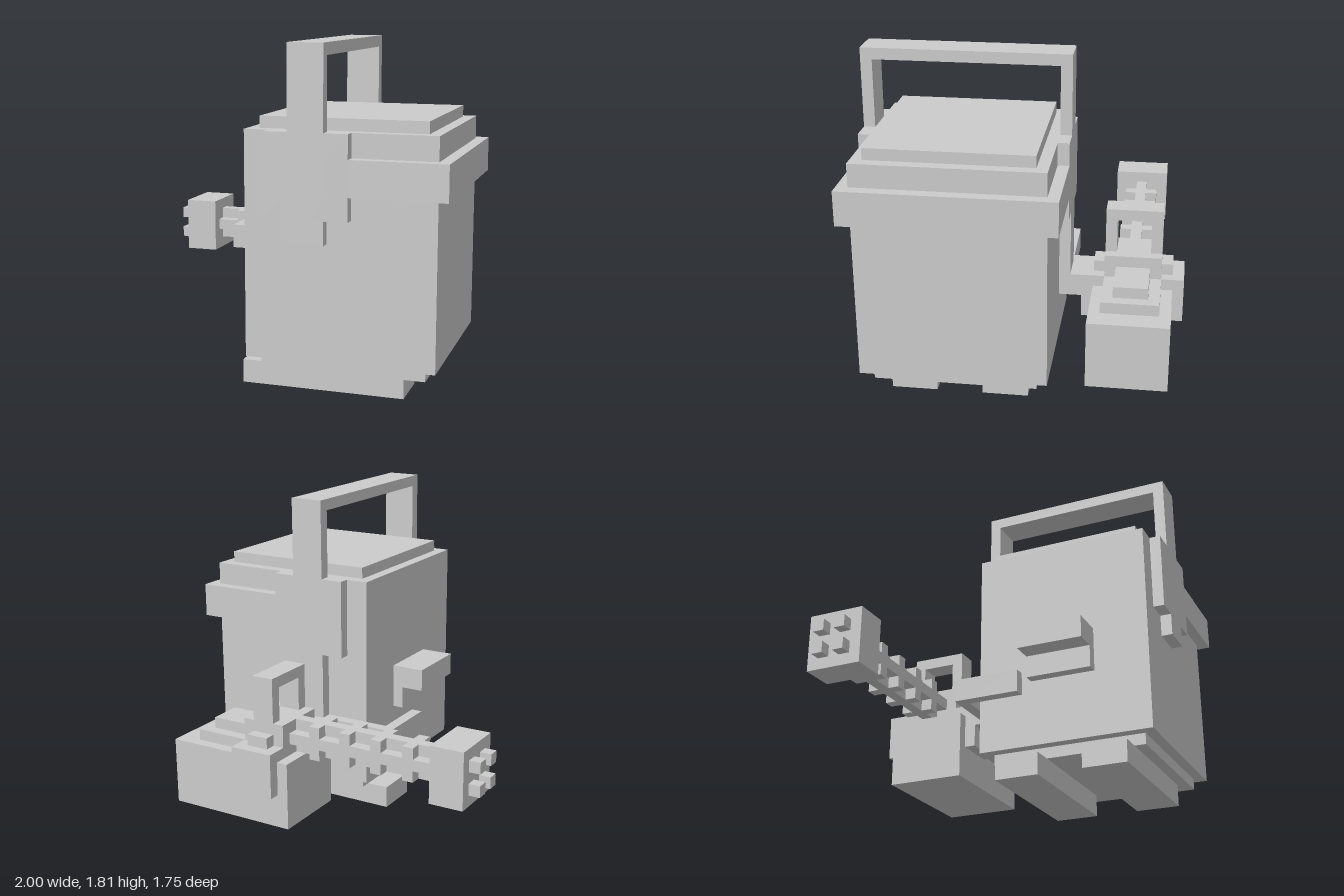
import * as THREE from 'three';

const U = 1 / 16; // one block unit

export function createModel() {
  const model = new THREE.Group();
  const material = new THREE.MeshStandardMaterial({ color: 0xcccccc, flatShading: true });

  // Box from ranges given in block units
  function box(parent, name, [x0, x1], [y0, y1], [z0, z1]) {
    const mesh = new THREE.Mesh(
      new THREE.BoxGeometry((x1 - x0) * U, (y1 - y0) * U, (z1 - z0) * U), material);
    mesh.position.set((x0 + x1) * U / 2, (y0 + y1) * U / 2, (z0 + z1) * U / 2);
    mesh.name = name;
    parent.add(mesh);
  }
  function group(name) {
    const g = new THREE.Group();
    g.name = name;
    model.add(g);
    return g;
  }

  // Tank with base, lid and two feet
  const tank = group('tank');
  box(tank, 'tankBody', [-1, 15], [3, 22], [-3, 13]);
  box(tank, 'basePlate', [0, 14], [2, 3], [-2, 12]);
  box(tank, 'lid', [0, 14], [22, 23], [-2, 12]);
  for (const z of [-1, 7]) box(tank, 'foot', [-2, 12], [0, 2], [z, z + 4]);

  // Carrying handle, mounting plates and side band
  const harness = group('harness');
  box(harness, 'handleTop', [3, 6], [28, 29], [-4, 14]);
  box(harness, 'frontHandleLeg', [3, 6], [13, 28], [13, 14]);
  box(harness, 'backHandleLeg', [3, 6], [9, 28], [-4, -3]);
  for (const z of [-4, 13]) {
    box(harness, 'mountingPlate', [1, 8], [15, 22], [z, z + 1]);
    box(harness, 'band', [8, 15], [17, 20], [z, z + 1]);
  }
  box(harness, 'sideBand', [15, 16], [17, 20], [-4, 14]);

  // Side bracket and the feed pipe that runs round the back
  const feed = group('feed');
  box(feed, 'bracketShelf', [-4, -1], [11, 13], [2, 8]);
  box(feed, 'bracketWall', [-2, -1], [9, 11], [2, 8]);
  box(feed, 'sidePipe', [-4, -3], [7, 9], [-3, 2]);
  box(feed, 'backPipe', [-4, 6], [7, 9], [-4, -3]);
  box(feed, 'connector', [2, 6], [7, 9], [-5, -4]);

  // Housing at the rear with stepped top and saddle
  const housing = group('housing');
  box(housing, 'housingBody', [1, 13], [2, 8], [-13, -6]);
  box(housing, 'lowerStep', [2, 11], [8, 9], [-12, -7]);
  box(housing, 'upperStep', [2, 10], [9, 10], [-11, -8]);
  for (const z of [-14, -6]) box(housing, 'sidePlate', [2, 6], [5, 9], [z, z + 1]);
  box(housing, 'saddle', [2, 6], [8, 9], [-13, -6]);
  box(housing, 'saddleRidge', [3, 5], [9, 10], [-13, -6]);
  box(housing, 'receiver', [2, 6], [9, 11], [-12, -7]);

  // Grip loop on the housing
  for (const z of [-12, -8]) box(housing, 'gripLeg', [3, 5], [11, 14], [z, z + 1]);
  box(housing, 'gripTop', [3, 5], [14, 15], [-12, -7]);

  // Cross-shaped barrel with square rings, muzzle block and four tips
  const barrel = group('barrel');
  box(barrel, 'verticalRib', [-12, 2], [8, 11], [-10, -9]);
  box(barrel, 'horizontalRib', [-12, 2], [9, 10], [-11, -8]);
  for (let x = -10; x < 1; x += 3) box(barrel, 'ring', [x, x + 1], [8, 11], [-11, -8]);
  box(barrel, 'muzzle', [-15, -12], [7, 12], [-12, -7]);
  for (const y of [8, 10]) {
    for (const z of [-11, -9]) box(barrel, 'muzzleTip', [-16, -15], [y, y + 1], [z, z + 1]);
  }

  return model;
}
